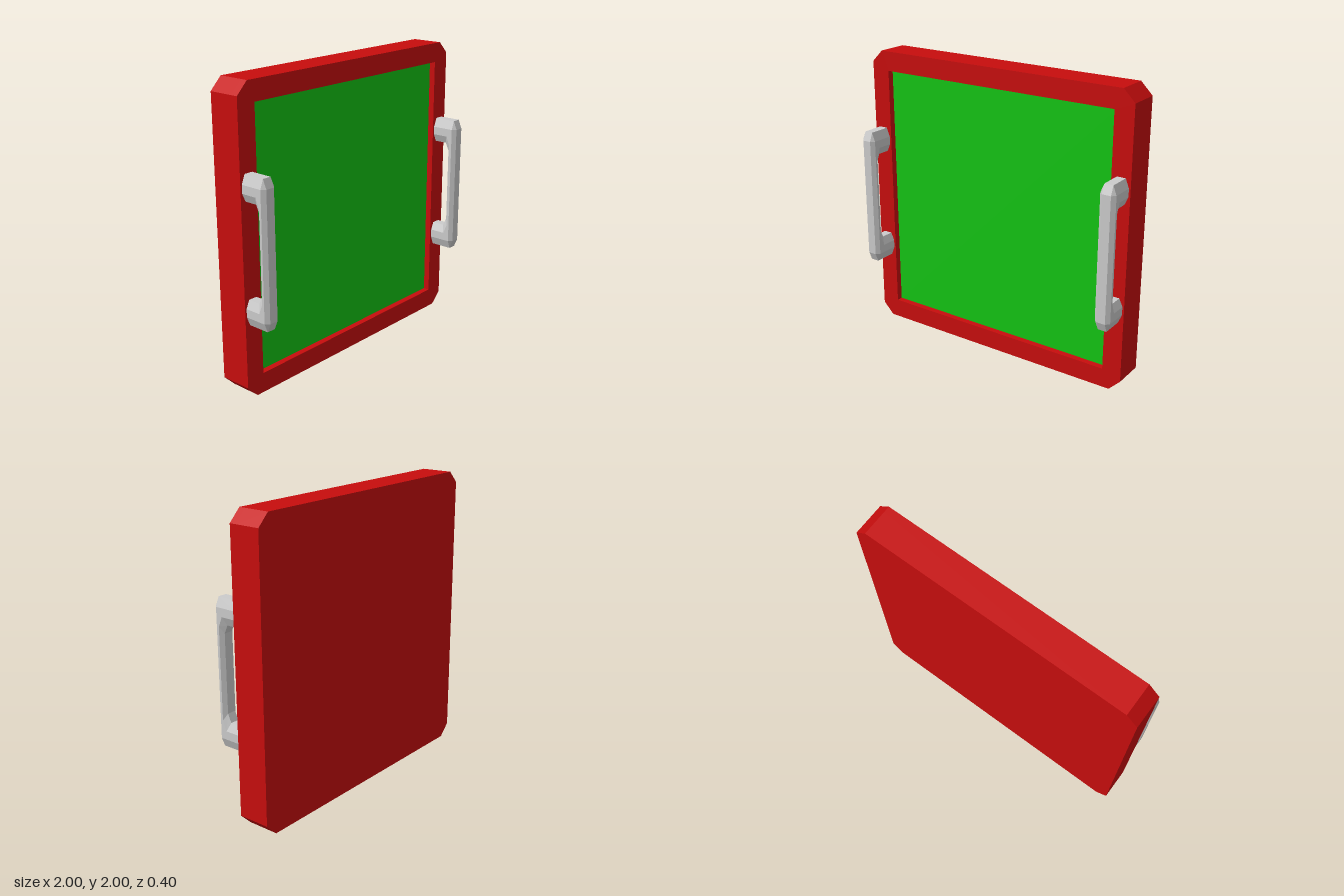
import * as THREE from 'three';

const CY = 1;           // panel centre height
const FRONT = 0.02, BACK = -0.2, RECESS = -0.025;

function mat(color) {
  return new THREE.MeshStandardMaterial({ color, flatShading: true });
}

// Square outline with clipped corners
function clippedSquare(h, c) {
  const s = new THREE.Shape();
  s.moveTo(-h + c, -h);
  s.lineTo(h - c, -h);
  s.lineTo(h, -h + c);
  s.lineTo(h, h - c);
  s.lineTo(h - c, h);
  s.lineTo(-h + c, h);
  s.lineTo(-h, h - c);
  s.lineTo(-h, -h + c);
  s.closePath();
  return s;
}

function slab(shape, z0, z1) {
  const g = new THREE.ExtrudeGeometry(shape, { depth: z1 - z0, bevelEnabled: false });
  g.translate(0, CY, z0);
  return g;
}

// Bracket handle: an eight-sided section carried up one leg, along the grip and down the other
function handleGeometry() {
  const foot = 0.015;
  // each rail: leg height, grip depth, and the corner cut in y and z
  const outer = { y: 0.48, z: 0.198, cy: 0.06, cz: 0.025 };
  const outerSide = { y: 0.42, z: 0.174, cy: 0, cz: 0 };
  const innerSide = { y: 0.365, z: 0.157, cy: 0.065, cz: 0.027 };
  const inner = { y: 0.312, z: 0.135, cy: 0.055, cz: 0.025 };
  const section = [
    [0.03, outer], [-0.03, outer], [-0.054, outerSide], [-0.054, innerSide],
    [-0.03, inner], [0.03, inner], [0.054, innerSide], [0.054, outerSide],
  ];
  const rails = section.map(([x, r]) => {
    const half = [[r.y, foot], [r.y, r.z - r.cz], [r.y - r.cy, r.z]];
    const mirrored = half.map(([y, z]) => [-y, z]).reverse();
    return [...half, ...mirrored].map(([y, z]) => new THREE.Vector3(x, y, z));
  });

  const pos = [];
  const tri = (a, b, c) => {
    if (a.equals(b) || b.equals(c) || a.equals(c)) return;
    for (const p of [a, b, c]) pos.push(p.x, p.y, p.z);
  };
  for (let j = 0; j < rails.length; j++) {
    const r = rails[j], s = rails[(j + 1) % rails.length];
    for (let i = 0; i < r.length - 1; i++) {
      tri(r[i], s[i], s[i + 1]);
      tri(r[i], s[i + 1], r[i + 1]);
    }
  }
  const g = new THREE.BufferGeometry();
  g.setAttribute('position', new THREE.Float32BufferAttribute(pos, 3));
  g.computeVertexNormals();
  return g;
}

export function createModel() {
  const model = new THREE.Group();
  model.name = 'framedPanel';
  const add = (name, geometry, material) => {
    const m = new THREE.Mesh(geometry, material);
    m.name = name;
    model.add(m);
    return m;
  };
  const red = mat(0xc80d0d), green = mat(0x14c514), grey = mat(0xcccccc);

  // Solid back and raised front rim
  add('backPlate', slab(clippedSquare(1, 0.08), BACK, RECESS), red);
  const rim = clippedSquare(1, 0.08);
  const h = 0.867;
  rim.holes.push(new THREE.Path([
    new THREE.Vector2(-h, -h), new THREE.Vector2(-h, h),
    new THREE.Vector2(h, h), new THREE.Vector2(h, -h),
  ]));
  add('frameRim', slab(rim, RECESS, FRONT), red);

  // Recessed face
  add('screen', new THREE.PlaneGeometry(2 * h, 2 * h), green).position.set(0, CY, RECESS + 0.002);

  // Handles on both sides
  const handle = handleGeometry();
  for (const [side, name] of [[1, 'leftHandle'], [-1, 'rightHandle']]) {
    add(name, handle, grey).position.set(side * 0.934, 0.98, 0);
  }
  return model;
}
